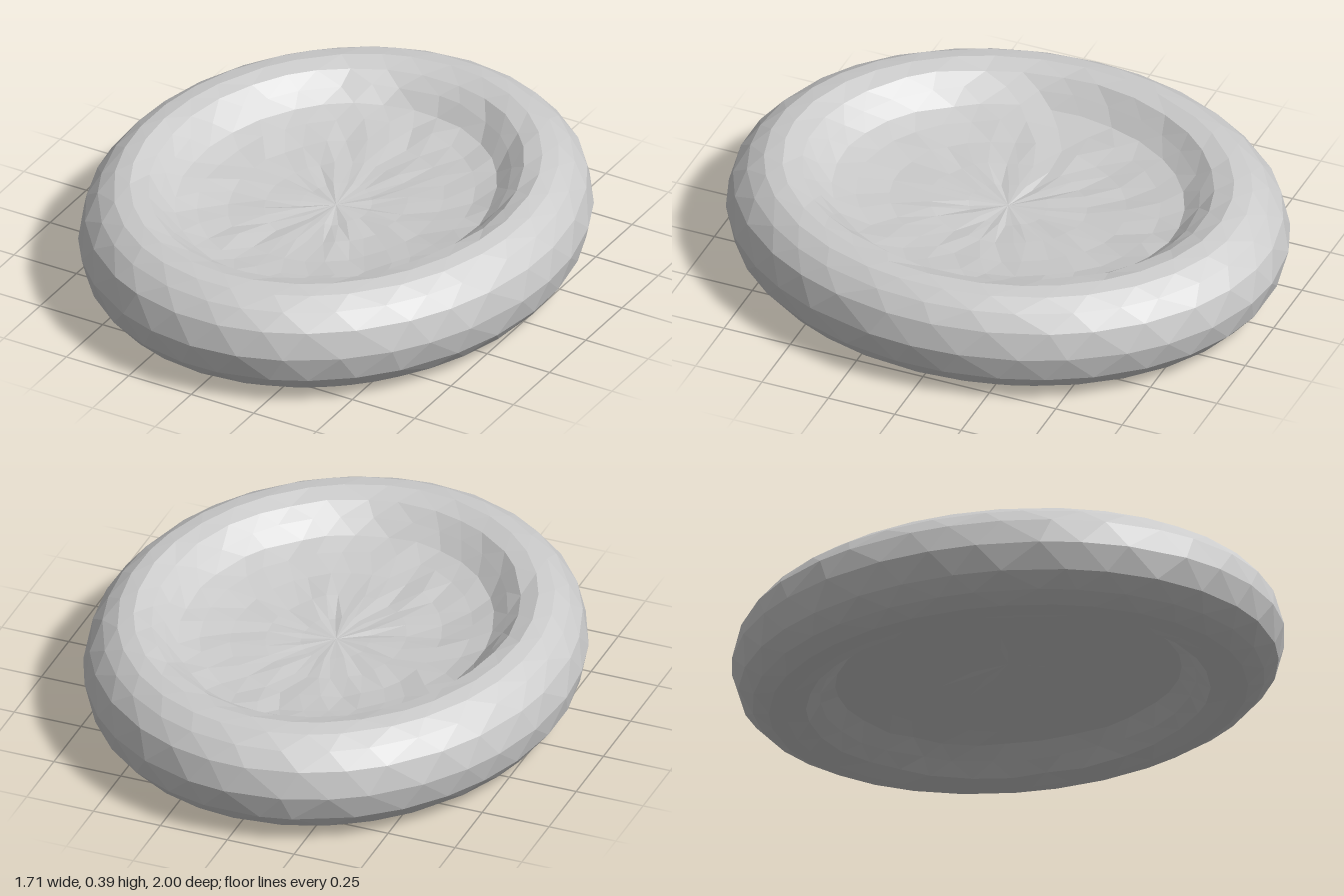
import * as THREE from 'three';

const SEGMENTS = 32;
const HALF_HEIGHT = 0.195;
const WIDTH_RATIO = 0.855;

// Small seeded generator for the slightly irregular facets
function seeded(seed) {
  return () => {
    seed = (seed * 16807) % 2147483647;
    return seed / 2147483647;
  };
}

export function createModel() {
  const group = new THREE.Group();
  group.name = 'biconcaveDisc';

  // Upper half of the section: rounded rim, inner wall, shallow dish (radius, height)
  const upper = [
    [0.975, 0.095], [0.925, 0.15], [0.865, 0.185], [0.8, HALF_HEIGHT],
    [0.73, 0.178], [0.68, 0.138], [0.625, 0.095], [0.54, 0.079],
    [0.42, 0.067], [0.28, 0.058], [0.14, 0.052], [0, 0.05],
  ];
  // Mirror it for the underside and join at the widest point
  const profile = [
    ...[...upper].reverse().map(([r, y]) => new THREE.Vector2(r, -y)),
    new THREE.Vector2(1, 0),
    ...upper.map(([r, y]) => new THREE.Vector2(r, y)),
  ];

  // Turn each ring half a step past the last for even triangles, then make it oval
  const lathe = new THREE.LatheGeometry(profile, SEGMENTS);
  const pos = lathe.attributes.position;
  const random = seeded(71);
  const step = (Math.PI * 2) / SEGMENTS;
  const jitter = profile.map(() =>
    Array.from({ length: SEGMENTS }, () => [random() - 0.5, random() - 0.5]));
  for (let i = 0; i <= SEGMENTS; i++) {
    profile.forEach((p, j) => {
      const [turn, lift] = jitter[j][i % SEGMENTS];
      const angle = (i + j * 0.5 + turn * 0.35) * step;
      const dish = p.x > 0 && p.x < 0.75 ? 0.012 : 0;
      pos.setXYZ(
        i * profile.length + j,
        Math.sin(angle) * p.x * WIDTH_RATIO,
        p.y + HALF_HEIGHT + lift * dish,
        Math.cos(angle) * p.x,
      );
    });
  }
  const geometry = lathe.toNonIndexed();
  geometry.computeVertexNormals();

  const material = new THREE.MeshStandardMaterial({ color: 0xcccccc, flatShading: true });
  const disc = new THREE.Mesh(geometry, material);
  disc.name = 'dishedDisc';
  group.add(disc);
  return group;
}
